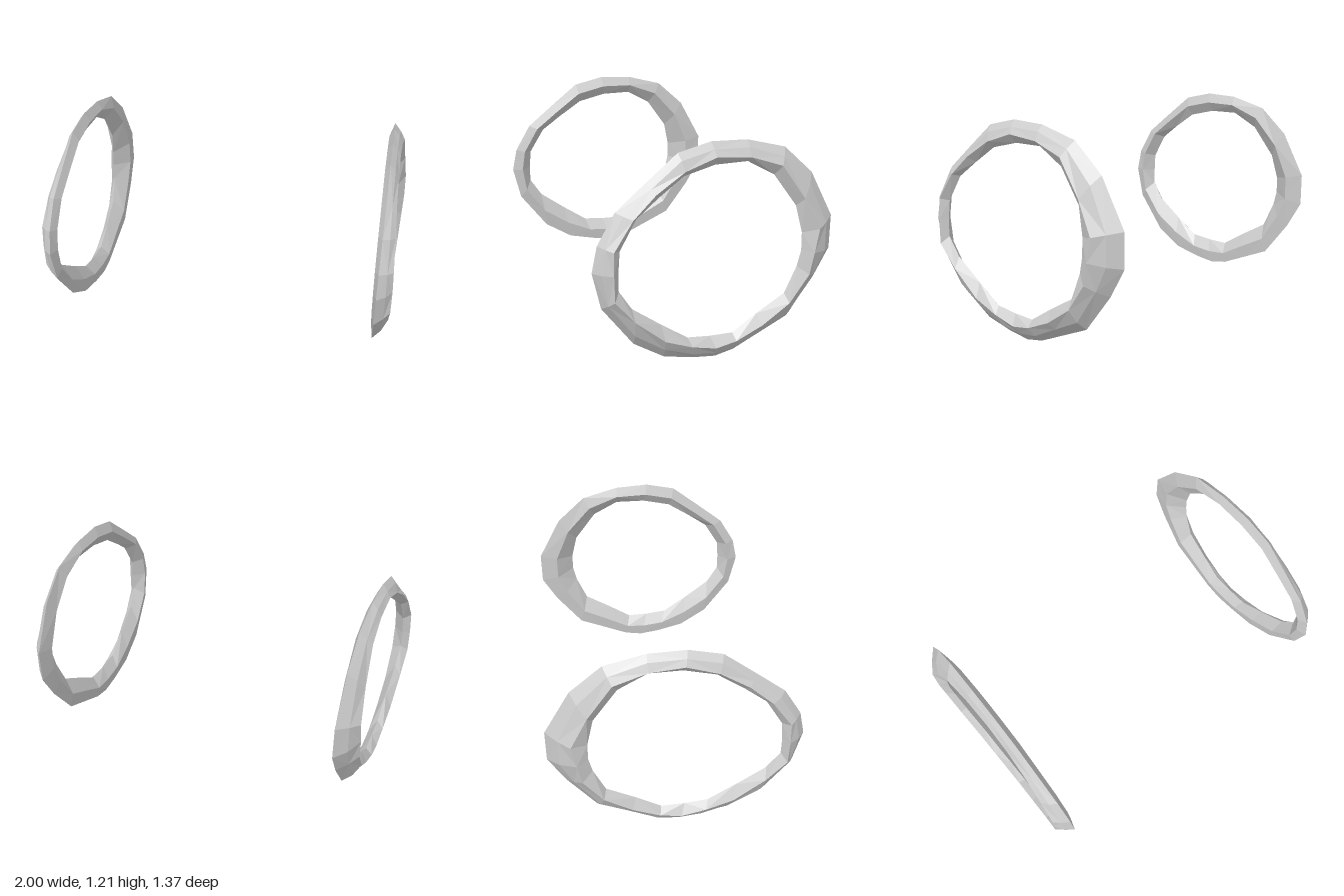
import * as THREE from 'three';

// Stations round the hoop: outer rim z, y and inner rim z, y
const STATIONS = [
  [0.685, 0.60, 0.56, 0.60], [0.655, 0.74, 0.55, 0.71], [0.56, 0.90, 0.46, 0.86],
  [0.40, 1.03, 0.34, 0.95], [0.23, 1.165, 0.20, 1.045], [0.05, 1.205, 0.03, 1.085],
  [-0.15, 1.195, -0.15, 1.085], [-0.37, 1.135, -0.30, 1.00], [-0.54, 0.98, -0.43, 0.82],
  [-0.68, 0.72, -0.465, 0.67], [-0.68, 0.53, -0.465, 0.57], [-0.59, 0.37, -0.445, 0.48],
  [-0.43, 0.16, -0.38, 0.33], [-0.27, 0.09, -0.22, 0.235], [-0.11, 0.02, -0.08, 0.145],
  [0, 0, 0.05, 0.15], [0.13, 0.018, 0.18, 0.165], [0.30, 0.06, 0.33, 0.27],
  [0.47, 0.17, 0.49, 0.39], [0.64, 0.40, 0.56, 0.50],
];

// Five-sided cross-section: outer rim, bevel, side ridge, inner rim, back
function section([zo, yo, zi, yi], i, side) {
  const up = (yo - 0.6) / 0.6;
  const rim = 0.903 + 0.02 * zo;
  const ridge = 0.967 + 0.03 * (zo / 0.68) ** 2 - 0.014 * up;
  const back = 0.886 + 0.015 * zo - 0.01 * up;
  const f = i % 2 ? 0.6 : 0.72;
  const at = (t, x) => new THREE.Vector3(
    side * x, THREE.MathUtils.lerp(yo, yi, t), THREE.MathUtils.lerp(zo, zi, t));
  return [
    at(0, rim),
    at(0.3, THREE.MathUtils.lerp(rim, ridge, 0.58)),
    at(f, ridge),
    at(1, ridge - 0.04),
    at(0.5, back),
  ];
}

// Faceted hoop on one side; side is +1 (left) or -1 (right)
function hoop(name, side, material) {
  const rings = STATIONS.map((s, i) => section(s, i, side));
  const points = [];
  const tri = (a, b, c) => points.push(...(side > 0 ? [a, b, c] : [a, c, b]));
  rings.forEach((ring, i) => {
    const next = rings[(i + 1) % rings.length];
    ring.forEach((a, j) => {
      const k = (j + 1) % ring.length;
      const b = next[j], c = ring[k], d = next[k];
      // Alternate the diagonals for an irregular, hand-cut look
      if ((i + j) % 2) { tri(a, c, b); tri(b, c, d); }
      else { tri(a, c, d); tri(a, d, b); }
    });
  });
  const geometry = new THREE.BufferGeometry().setFromPoints(points);
  geometry.computeVertexNormals();
  const mesh = new THREE.Mesh(geometry, material);
  mesh.name = name;
  return mesh;
}

export function createModel() {
  const model = new THREE.Group();
  model.name = 'hoopPair';
  const material = new THREE.MeshStandardMaterial({ color: 0xcccccc, flatShading: true });
  const left = hoop('leftHoop', 1, material);
  const right = hoop('rightHoop', -1, material);
  // The right hoop is very slightly shorter
  right.scale.y = 0.985;
  right.position.y = 0.015;
  model.add(left, right);
  return model;
}
